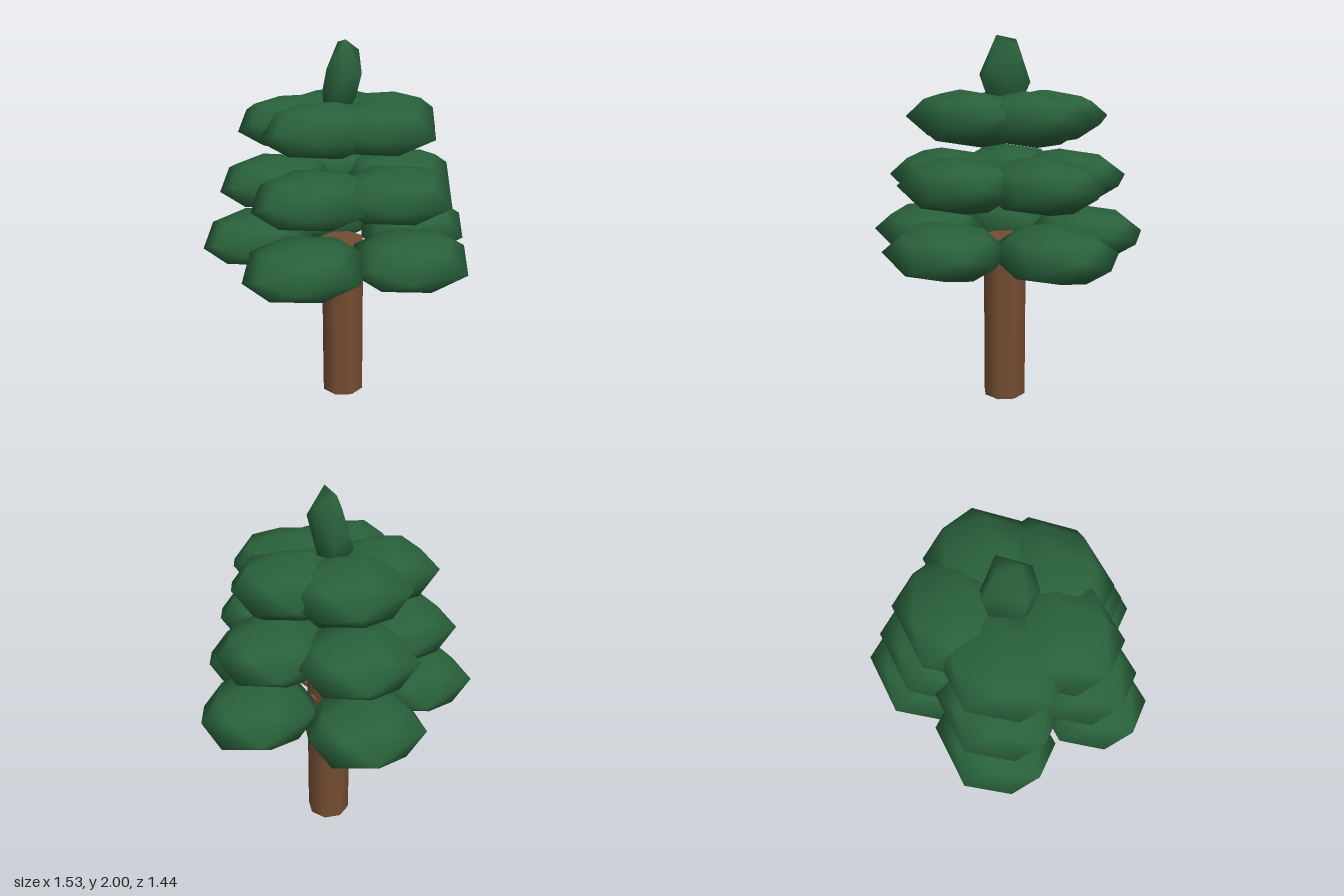
import * as THREE from 'three';
import { mergeVertices } from 'three/addons/utils/BufferGeometryUtils.js';
import { ConvexGeometry } from 'three/addons/geometries/ConvexGeometry.js';

const AXIS_Z = -0.045; // the trunk axis sits a little behind the centre

// Smooth faceted clump: hull of the given points and their opposites
function clumpGeometry(points) {
  const all = points.flatMap(([x, y, z]) => [
    new THREE.Vector3(x, y, z), new THREE.Vector3(-x, -y, -z),
  ]);
  const hull = new ConvexGeometry(all);
  hull.deleteAttribute('normal');
  const smooth = mergeVertices(hull, 1e-4);
  smooth.computeVertexNormals();
  return smooth;
}

export function createModel() {
  const tree = new THREE.Group();
  tree.name = 'tree';
  const green = new THREE.MeshStandardMaterial({ color: 0x29613b });
  const brown = new THREE.MeshStandardMaterial({ color: 0x744d33 });

  function add(name, geometry, material, x, y, z, parent = tree) {
    const mesh = new THREE.Mesh(geometry, material);
    mesh.name = name;
    mesh.position.set(x, y, z);
    parent.add(mesh);
    return mesh;
  }

  // Trunk: eight-sided post
  const trunk = add('trunk', new THREE.CylinderGeometry(0.122, 0.122, 0.93, 8), brown, 0, 0.465, AXIS_Z);
  trunk.rotation.y = Math.PI / 8;

  // Foliage: three rings of five flattened clumps
  const leafGeometry = clumpGeometry([
    // rim
    [0.09, -0.035, 0.298], [-0.25, -0.005, 0.203], [-0.325, 0.03, 0.015], [0.28, 0.035, 0.145],
    // shoulder
    [0.26, 0.085, -0.03], [0, 0.085, 0.24], [0.17, 0.1, 0.14], [0.08, 0.1, -0.2],
    [-0.21, 0.11, -0.02], [-0.15, 0.09, -0.16], [-0.14, 0.09, 0.17],
    // top
    [0.04, 0.14, 0.06], [-0.08, 0.135, -0.04],
  ]);
  const tiers = [
    ['lowerFoliage', 0.93, 0.465],
    ['middleFoliage', 1.255, 0.352],
    ['upperFoliage', 1.58, 0.238],
  ];
  for (const [name, y, radius] of tiers) {
    const ring = new THREE.Group();
    ring.name = name;
    tree.add(ring);
    for (let i = 0; i < 5; i++) {
      const a = (i * Math.PI * 2) / 5;
      add('leafClump', leafGeometry, green, Math.sin(a) * radius, y, AXIS_Z + Math.cos(a) * radius, ring);
    }
  }

  // Branches: short twigs from the trunk into the lowest clumps
  const up = new THREE.Vector3(0, 1, 0);
  for (let i = 0; i < 5; i++) {
    const a = (i * Math.PI * 2) / 5;
    const direction = new THREE.Vector3(Math.sin(a), 0.22, Math.cos(a)).normalize();
    const twig = add('branch', new THREE.CylinderGeometry(0.022, 0.028, 0.3, 6), brown,
      Math.sin(a) * 0.22, 0.875, AXIS_Z + Math.cos(a) * 0.22);
    twig.quaternion.setFromUnitVectors(up, direction);
  }

  // Crown: upright clump at the tip
  const crownGeometry = clumpGeometry([
    [-0.02, 0.22, 0.045], [0.03, 0.2, -0.055], [0.11, 0.16, 0.02], [0, 0.06, 0.135],
    [0.04, 0.03, -0.13], [-0.113, 0.08, 0], [0.1, -0.02, -0.09], [0.113, 0.03, 0.03],
  ]);
  add('crown', crownGeometry, green, 0, 1.78, AXIS_Z);

  return tree;
}
